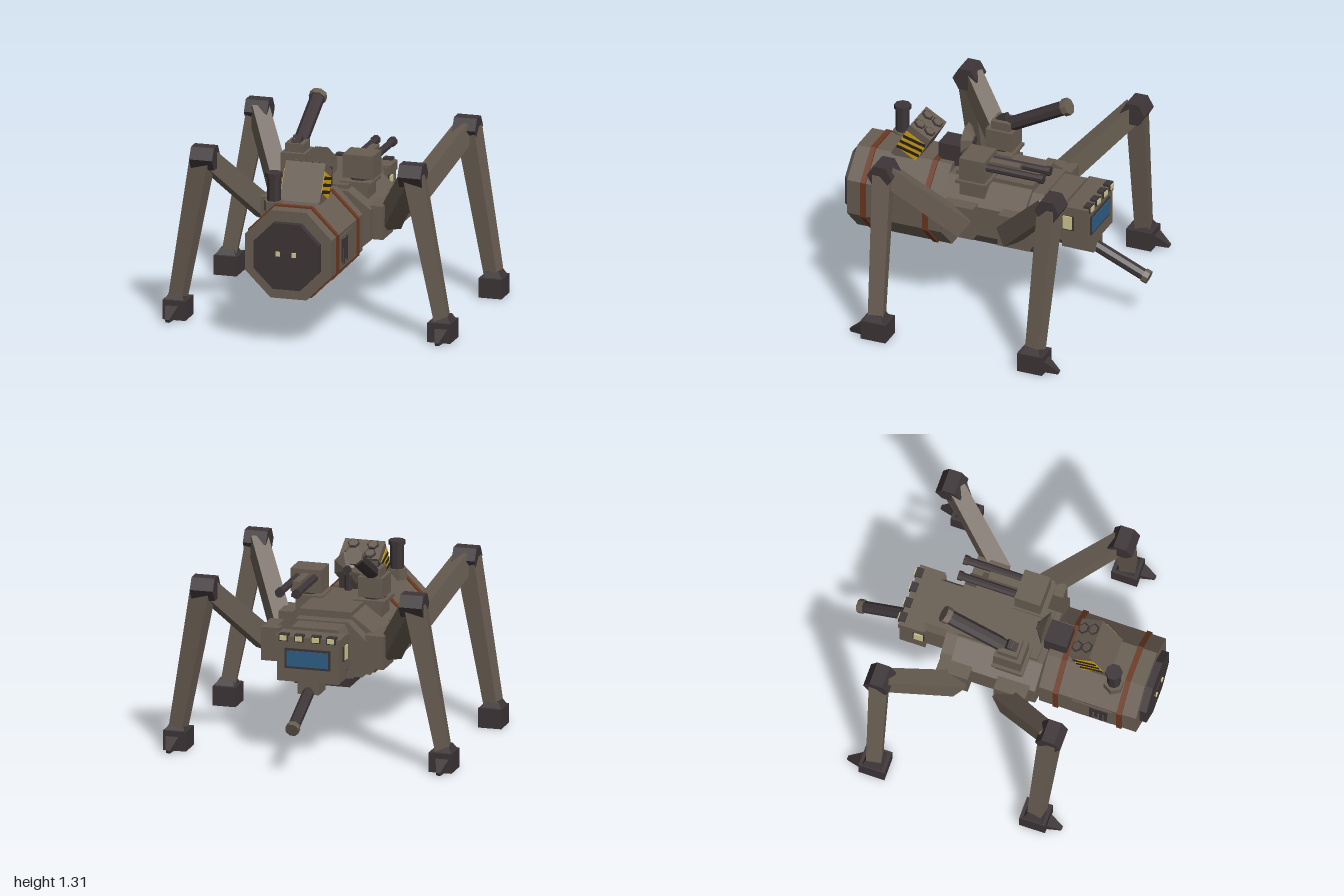
import * as THREE from 'three';

const mat = (name, color) => {
  const m = new THREE.MeshStandardMaterial({ color });
  m.name = name;
  return m;
};

export function createModel() {
  const armour = mat('brown armour', 0x685d52);
  const steel = mat('dark steel', 0x3d3537);
  const rust = mat('rusty band', 0x6b3820);
  const yellow = mat('hazard yellow', 0xd0a012);
  const black = mat('hazard black', 0x27231f);
  const cream = mat('cream lamp', 0xd2c98f);
  const glass = mat('blue glass', 0x2f5f86);

  const root = new THREE.Group();
  root.name = 'fourLeggedWalker';
  const V = (x, y, z) => new THREE.Vector3(x, y, z);

  // Faceted mesh
  function add(name, geometry, material, parent = root) {
    const g = geometry.index ? geometry.toNonIndexed() : geometry;
    g.computeVertexNormals();
    const m = new THREE.Mesh(g, material);
    m.name = name;
    parent.add(m);
    return m;
  }
  // Box given by its limits
  function box(name, material, x0, x1, y0, y1, z0, z1, parent = root) {
    const m = add(name, new THREE.BoxGeometry(Math.abs(x1 - x0), Math.abs(y1 - y0), Math.abs(z1 - z0)), material, parent);
    m.position.set((x0 + x1) / 2, (y0 + y1) / 2, (z0 + z1) / 2);
    return m;
  }
  // Prism between two points, r measured to the flats
  function rod(name, material, a, b, r, sides = 8, r2 = r, parent = root) {
    const k = 1 / Math.cos(Math.PI / sides);
    const g = new THREE.CylinderGeometry(r2 * k, r * k, a.distanceTo(b), sides);
    g.rotateY(Math.PI / sides);
    const m = add(name, g, material, parent);
    m.position.copy(a).lerp(b, 0.5);
    m.quaternion.setFromUnitVectors(V(0, 1, 0), b.clone().sub(a).normalize());
    return m;
  }
  // Tapered rectangular beam between two points, its side axis kept level
  function beam(name, material, a, b, w0, d0, w1, d1, parent) {
    const len = a.distanceTo(b);
    const g = new THREE.BoxGeometry(1, len, 1);
    const p = g.attributes.position;
    for (let i = 0; i < p.count; i++) {
      const top = p.getY(i) > 0;
      p.setX(i, p.getX(i) * (top ? w1 : w0));
      p.setZ(i, p.getZ(i) * (top ? d1 : d0));
    }
    const m = add(name, g, material, parent);
    const y = b.clone().sub(a).normalize();
    const x = y.clone().cross(V(0, 1, 0)).normalize();
    m.quaternion.setFromRotationMatrix(new THREE.Matrix4().makeBasis(x, y, x.clone().cross(y)));
    m.position.copy(a).lerp(b, 0.5);
    return m;
  }
  // Outline in x,y extruded along z
  function prism(name, material, pts, z0, z1, parent = root) {
    const shape = new THREE.Shape(pts.map(([x, y]) => new THREE.Vector2(x, y)));
    const g = new THREE.ExtrudeGeometry(shape, { depth: z1 - z0, bevelEnabled: false });
    g.translate(0, 0, z0);
    return add(name, g, material, parent);
  }
  const mirrored = (half) => [...half, ...half.map(([x, y]) => [-x, y]).reverse()];

  // Hull, neck and decks
  prism('hull', armour, mirrored([[0.24, 0.46], [0.33, 0.54], [0.33, 0.74], [0.18, 0.85]]), -0.27, 0.29);
  prism('hullRear', armour, mirrored([[0.2, 0.47], [0.29, 0.54], [0.29, 0.72], [0.17, 0.83]]), -0.35, -0.27);
  prism('neck', armour, mirrored([[0.15, 0.5], [0.18, 0.54], [0.18, 0.76], [0.15, 0.82]]), -0.5, -0.35);
  box('upperDeck', armour, -0.17, 0.17, 0.84, 0.875, -0.27, 0.25);
  box('bellyPlate', steel, -0.18, 0.18, 0.41, 0.465, -0.34, 0.26);

  // Head with window, roof lamps and side lamps
  box('head', armour, -0.2, 0.2, 0.51, 0.79, -0.65, -0.48);
  box('headBrow', armour, -0.21, 0.21, 0.74, 0.8, -0.655, -0.49);
  box('windowFrame', steel, -0.15, 0.15, 0.595, 0.725, -0.656, -0.65);
  box('window', glass, -0.135, 0.135, 0.61, 0.71, -0.661, -0.656);
  for (const x of [-0.155, -0.055, 0.055, 0.155]) {
    box('roofLampHousing', steel, x - 0.03, x + 0.03, 0.77, 0.815, -0.665, -0.62);
    box('roofLamp', cream, x - 0.022, x + 0.022, 0.777, 0.808, -0.672, -0.665);
  }
  for (const s of [-1, 1]) {
    box('sideLampFrame', steel, s * 0.2, s * 0.208, 0.635, 0.745, -0.56, -0.485);
    box('sideLamp', cream, s * 0.2, s * 0.216, 0.645, 0.735, -0.55, -0.492);
  }

  // Chin gun
  box('chinMount', armour, -0.07, 0.07, 0.43, 0.515, -0.64, -0.5);
  rod('chinBarrel', steel, V(0, 0.465, -0.58), V(0, 0.3, -0.96), 0.035);
  rod('chinMuzzle', armour, V(0, 0.305, -0.95), V(0, 0.292, -0.985), 0.042);

  // Octagonal tank with bands and front hatch
  const cy = 0.595;
  rod('tank', armour, V(0, cy, 0.3), V(0, cy, 0.94), 0.283);
  for (const z of [0.41, 0.83]) rod('tankBand', rust, V(0, cy, z - 0.017), V(0, cy, z + 0.017), 0.293);
  rod('frontHatch', steel, V(0, cy, 0.94), V(0, cy, 0.985), 0.213);
  box('hatchPlate', steel, -0.065, 0.065, 0.52, 0.63, 0.985, 0.992);
  for (const s of [-1, 1]) {
    box('hatchLamp', cream, s * 0.04, s * 0.065, 0.598, 0.628, 0.985, 1.0);
    box('tankSidePanel', armour, s * 0.28, s * 0.289, 0.49, 0.69, 0.52, 0.78);
    // Worn paint streaks
    [[0.51, 0.67], [0.53, 0.665], [0.5, 0.65], [0.52, 0.67]].forEach(([y0, y1], i) => {
      const z = 0.645 + i * 0.032;
      box('paintStreak', steel, s * 0.288, s * 0.292, y0, y1, z - 0.011, z + 0.011);
    });
    box('streakBar', steel, s * 0.288, s * 0.291, 0.61, 0.665, 0.635, 0.755);
  }

  // Exhaust stack
  rod('stackBase', armour, V(-0.155, 0.82, 0.75), V(-0.155, 0.888, 0.75), 0.056, 6);
  rod('stack', steel, V(-0.155, 0.86, 0.75), V(-0.155, 1.05, 0.75), 0.04);
  rod('stackCap', steel, V(-0.155, 1.04, 0.75), V(-0.155, 1.068, 0.75), 0.05);

  // Tilted rocket launcher with four tubes and hazard stripes
  const launcher = new THREE.Group();
  launcher.name = 'rocketLauncher';
  launcher.position.set(0, 0.95, 0.575);
  launcher.rotation.x = -Math.PI / 6;
  root.add(launcher);
  box('launcherBody', armour, -0.13, 0.13, -0.13, 0.13, -0.08, 0.08, launcher);
  for (const s of [-1, 1]) {
    for (const z of [-0.038, 0.038]) {
      rod('tubeRim', steel, V(s * 0.063, 0.12, z), V(s * 0.063, 0.138, z), 0.034, 6, 0.034, launcher);
      rod('tubeCap', armour, V(s * 0.063, 0.13, z), V(s * 0.063, 0.142, z), 0.026, 6, 0.026, launcher);
    }
    box('hazardPlate', yellow, s * 0.13, s * 0.134, -0.06, 0.08, -0.078, 0.078, launcher);
    for (const y of [-0.035, 0.01, 0.055]) {
      const stripe = box('hazardStripe', black, s * 0.132, s * 0.137, y - 0.01, y + 0.01, -0.078, 0.078, launcher);
      stripe.rotation.x = 0.25;
    }
  }

  // Radar block and dish
  box('radarBlock', steel, -0.075, 0.075, 0.84, 0.99, 0.26, 0.41);
  rod('radarMast', steel, V(0, 0.86, 0.22), V(0, 1.0, 0.22), 0.022);
  rod('radarDish', armour, V(0, 1.01, 0.2), V(0, 1.01, 0.25), 0.03, 8, 0.1);
  rod('radarTip', steel, V(0, 1.01, 0.19), V(0, 1.01, 0.205), 0.025);

  // Roof turrets: elevated cannon on one side, twin guns on the other
  for (const s of [-1, 1]) {
    box('turretFloor', armour, s * 0.1, s * 0.305, 0.865, 0.885, -0.01, 0.2);
    box('floorSupport', armour, s * 0.12, s * 0.28, 0.76, 0.865, 0.01, 0.18);
    rod('turretRing', steel, V(s * 0.21, 0.88, 0.09), V(s * 0.21, 0.91, 0.09), 0.07);
  }
  box('cannonTurret', armour, -0.29, -0.13, 0.9, 1.03, 0.0, 0.18);
  box('cannonCradle', armour, -0.27, -0.15, 1.03, 1.085, 0.02, 0.15);
  rod('cannonBarrel', steel, V(-0.21, 1.045, 0.06), V(-0.21, 1.255, -0.33), 0.043);
  rod('cannonMuzzle', armour, V(-0.21, 1.25, -0.32), V(-0.21, 1.268, -0.354), 0.052);
  const sight = box('cannonSight', steel, -0.24, -0.18, 1.07, 1.105, 0.06, 0.13);
  sight.rotation.x = 0.5;
  box('sightLamp', cream, -0.23, -0.19, 1.085, 1.105, 0.075, 0.1);

  box('twinTurret', armour, 0.11, 0.31, 0.9, 1.05, 0.0, 0.17);
  box('twinShroud', armour, 0.185, 0.235, 0.97, 1.025, -0.2, 0.0);
  for (const x of [0.155, 0.265]) {
    rod('twinBarrel', steel, V(x, 0.997, 0.02), V(x, 0.997, -0.36), 0.023);
    rod('twinMuzzle', steel, V(x, 0.997, -0.355), V(x, 0.997, -0.385), 0.029);
  }

  // Legs, mirrored in x and about z = -0.045
  for (const sx of [-1, 1]) {
    for (const sz of [-1, 1]) {
      const P = (x, y, z) => V(sx * x, y, -0.045 + sz * (z + 0.045));
      const leg = new THREE.Group();
      leg.name = (sz > 0 ? 'front' : 'rear') + (sx > 0 ? 'Left' : 'Right') + 'Leg';
      root.add(leg);
      const block = (name, m, a, b) => box(name, m, a.x, b.x, a.y, b.y, a.z, b.z, leg);
      block('hip', armour, P(0.28, 0.54, 0.04), P(0.4, 0.755, 0.25));
      beam('upperLeg', armour, P(0.4, 0.63, 0.11), P(0.68, 1.06, 0.51), 0.12, 0.13, 0.11, 0.12, leg);
      const knee = rod('knee', steel, P(0.605, 1.06, 0.522), P(0.755, 1.06, 0.522), 0.072, 6, 0.072, leg);
      knee.rotateY(Math.PI / 6);
      beam('lowerLeg', armour, P(0.69, 1.06, 0.52), P(0.87, 0.09, 0.49), 0.115, 0.13, 0.095, 0.09, leg);
      block('foot', steel, P(0.79, 0, 0.4), P(0.94, 0.125, 0.57));
      rod('ankle', steel, P(0.868, 0.12, 0.487), P(0.865, 0.16, 0.488), 0.065, 4, 0.045, leg);
      beam('claw', steel, P(0.88, 0.055, 0.56), P(0.88, 0.015, 0.66), 0.085, 0.08, 0.025, 0.02, leg);
    }
  }
  return root;
}
